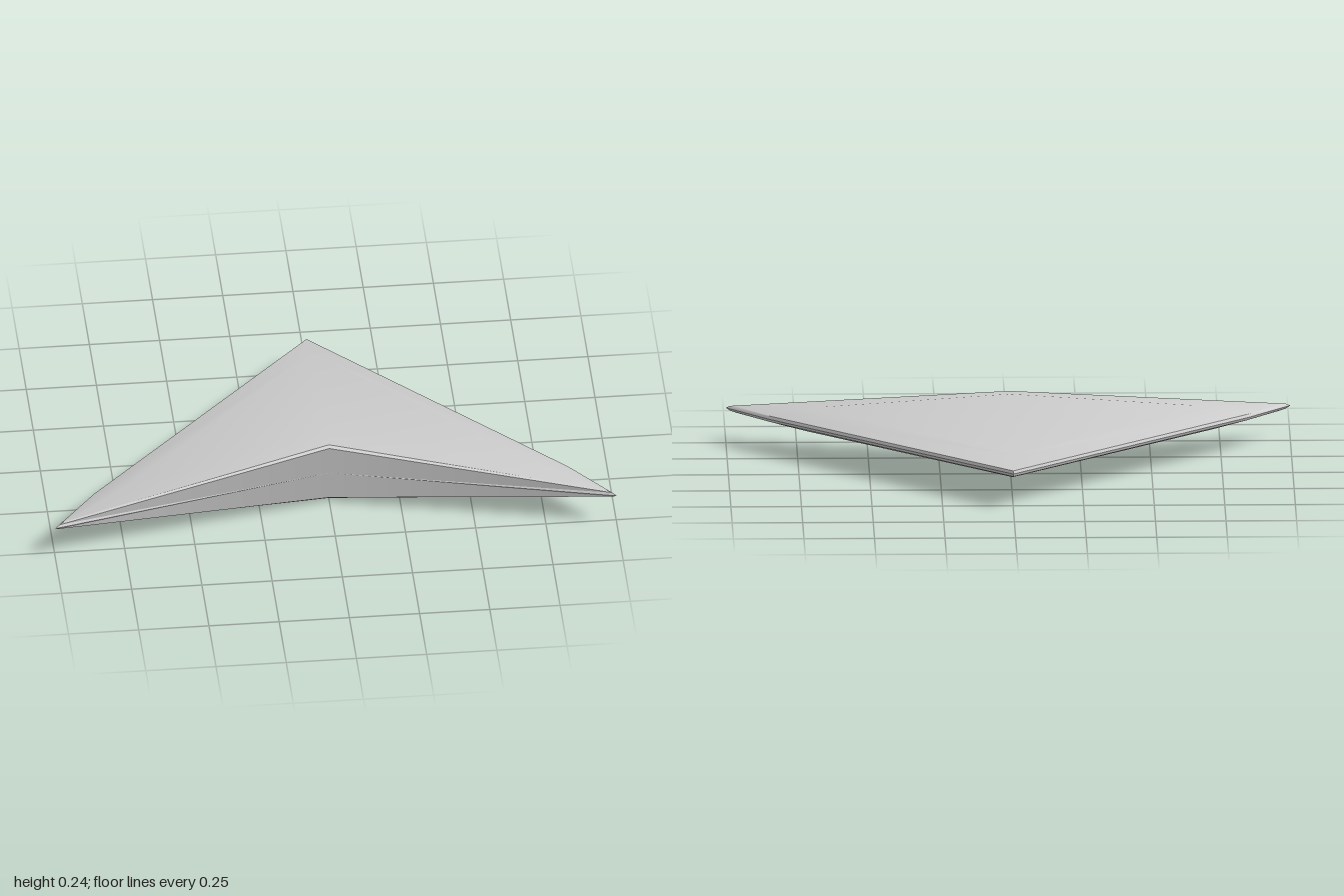
import * as THREE from 'three';
import { toCreasedNormals } from 'three/addons/utils/BufferGeometryUtils.js';

const HEIGHT = 0.243;
const MID = HEIGHT / 2;

// Half outlines from the belt line up to the crest: nose, shoulder, wing tip, notch
const RINGS = [
  [[0, MID, -0.527], [0.848, MID, 0.34], [1, MID, 0.525], [0, MID, 0.284]],
  [[0, 0.132, -0.522], [0.843, 0.132, 0.342], [0.985, 0.13, 0.516], [0, 0.228, 0.284]],
  [[0, 0.132, -0.522], [0.843, 0.132, 0.342], [0.966, 0.134, 0.504], [0, 0.237, 0.274]],
  [[0, 0.162, -0.4], [0.72, 0.163, 0.335], [0.72, 0.163, 0.335], [0, HEIGHT, 0.2]],
];

// Triangles of one quarter (upper left) of the wing
function quarterTriangles() {
  const tris = [];
  const same = (p, q) => p.every((v, i) => v === q[i]);
  const add = (a, b, c) => {
    if (!same(a, b) && !same(b, c) && !same(a, c)) tris.push([a, b, c]);
  };
  for (let r = 0; r < RINGS.length - 1; r++) {
    const outer = RINGS[r], inner = RINGS[r + 1];
    for (let i = 0; i < outer.length - 1; i++) {
      add(outer[i + 1], outer[i], inner[i]);
      add(outer[i + 1], inner[i], inner[i + 1]);
    }
  }
  // Broad panel between the nose, the wing and the crest
  const [nose, , wing, crest] = RINGS[RINGS.length - 1];
  add(crest, wing, nose);
  return tris;
}

export function createModel() {
  const positions = [];
  const quarter = quarterTriangles();
  // Mirror left to right and top to bottom, reversing corners on single mirrors
  for (const sx of [1, -1]) {
    for (const sy of [1, -1]) {
      for (const tri of quarter) {
        const corners = sx * sy > 0 ? tri : [...tri].reverse();
        for (const [x, y, z] of corners) positions.push(sx * x, MID + sy * (y - MID), z);
      }
    }
  }
  const geometry = new THREE.BufferGeometry();
  geometry.setAttribute('position', new THREE.Float32BufferAttribute(positions, 3));

  const wing = new THREE.Mesh(
    toCreasedNormals(geometry, 0.5),
    new THREE.MeshStandardMaterial({ color: 0xcccccc })
  );
  wing.name = 'arrowheadWing';

  const model = new THREE.Group();
  model.name = 'arrowhead';
  model.add(wing);
  return model;
}
